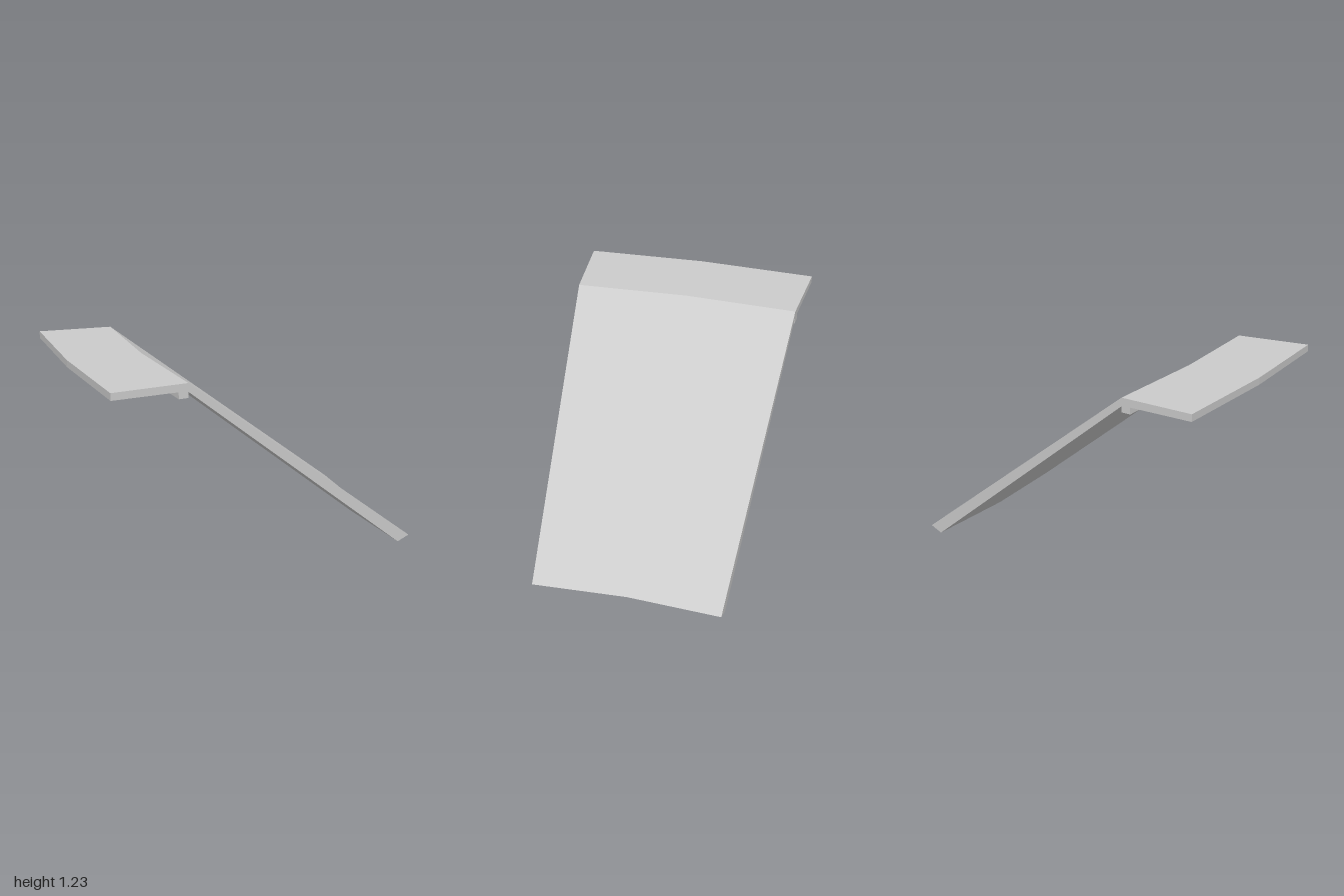
import * as THREE from 'three';

const BOW = 0.03; // how far the centre line sits back from the side edges

// half width tapers steadily toward the foot of the ramp
const halfWidth = (x) => 0.733 - 0.079 * (x + 0.97);

// Loft a counter-clockwise side profile across the width: edge, bowed centre, edge.
// Profile edges listed in `joints` touch a neighbouring part and are left open.
function loft(name, profile, joints) {
  const n = profile.length;
  const positions = [];
  const index = [];
  for (const side of [-1, 0, 1]) {
    for (const [x, y] of profile) {
      positions.push(side === 0 ? x - BOW : x, y, side * halfWidth(x));
    }
  }
  for (let s = 0; s < 2; s++) {
    for (let i = 0; i < n; i++) {
      if (joints.includes(i)) continue;
      const a = s * n + i;
      const b = s * n + ((i + 1) % n);
      index.push(a, b, b + n, a, b + n, a + n);
    }
  }
  // side faces
  const outline = profile.map(([x, y]) => new THREE.Vector2(x, y));
  for (const [a, b, c] of THREE.ShapeUtils.triangulateShape(outline, [])) {
    index.push(a, c, b, 2 * n + a, 2 * n + b, 2 * n + c);
  }
  const indexed = new THREE.BufferGeometry();
  indexed.setAttribute('position', new THREE.Float32BufferAttribute(positions, 3));
  indexed.setIndex(index);
  const geometry = indexed.toNonIndexed();
  geometry.computeVertexNormals();
  const material = new THREE.MeshStandardMaterial({ color: 0xcccccc, flatShading: true });
  const mesh = new THREE.Mesh(geometry, material);
  mesh.name = name;
  return mesh;
}

export function createModel() {
  const group = new THREE.Group();
  group.name = 'bentRamp';

  // flat upper platform
  group.add(loft('platform', [
    [-0.97, 1.187], [-0.573, 1.18], [-0.515, 1.175], [-0.515, 1.225], [-0.97, 1.23],
  ], [1, 2]));

  // long sloping ramp with an angled foot
  group.add(loft('ramp', [
    [-0.515, 1.175], [0.92, 0], [1.0, 0.03], [-0.515, 1.225],
  ], [3]));

  // small lip hanging under the bend
  group.add(loft('lip', [
    [-0.573, 1.14], [-0.515, 1.14], [-0.515, 1.175], [-0.573, 1.18],
  ], [2]));

  return group;
}
